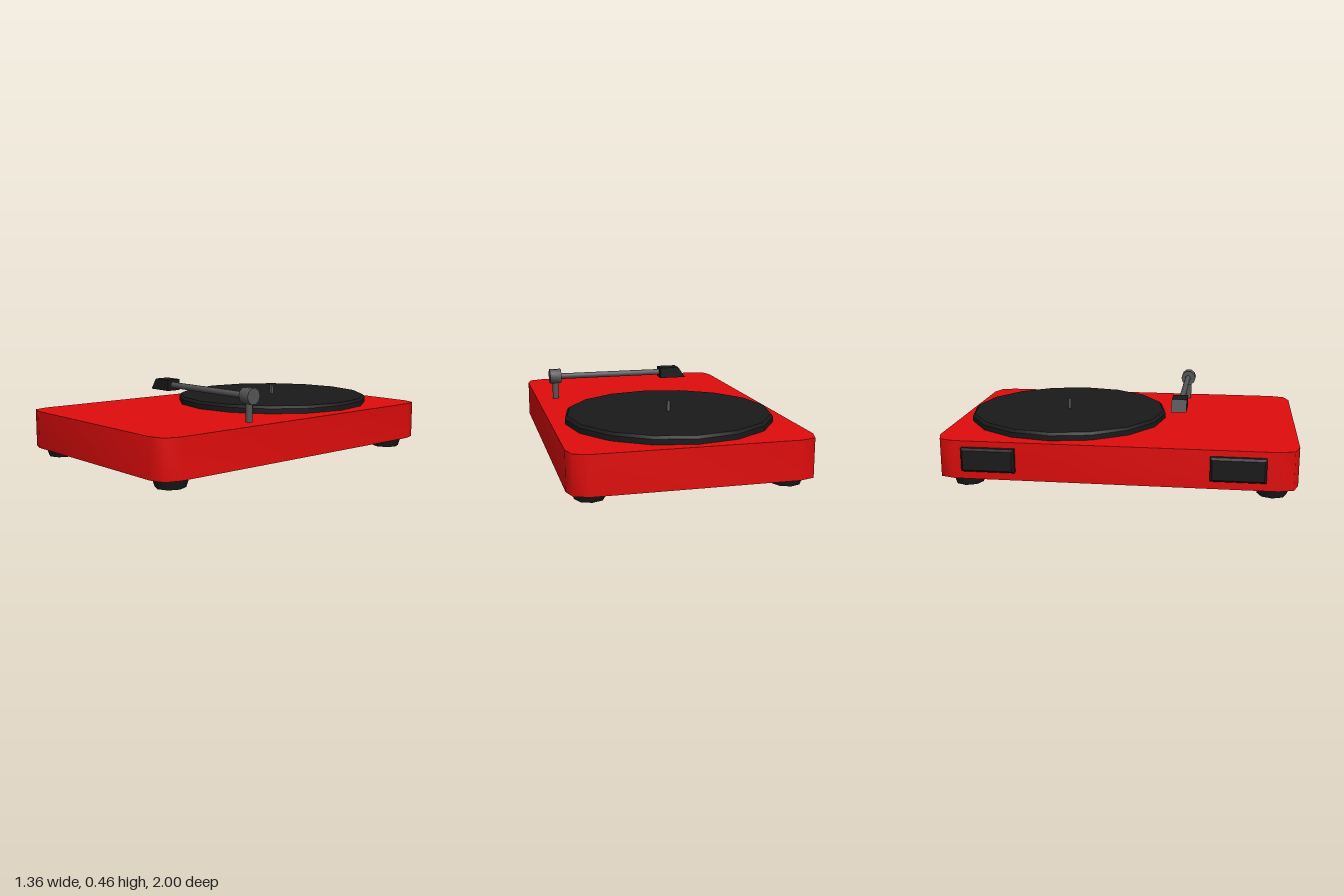
import * as THREE from 'three';
import { toCreasedNormals } from 'three/addons/utils/BufferGeometryUtils.js';

const mat = (color) => new THREE.MeshStandardMaterial({ color });
const red = mat(0xe00c0c), black = mat(0x1a1a1a), grey = mat(0x555555);

export function createModel() {
  const model = new THREE.Group();

  const add = (name, geometry, material, x, y, z, crease = 0.9) => {
    const mesh = new THREE.Mesh(toCreasedNormals(geometry, crease), material);
    mesh.name = name;
    mesh.position.set(x, y, z);
    model.add(mesh);
    return mesh;
  };

  // Plinth: rectangle with two-step rounded corners, extruded upward
  const hx = 0.66, hz = 1;
  const corner = [[hx, hz - 0.11], [hx - 0.026, hz - 0.028], [hx - 0.11, hz]];
  const outline = [];
  for (const [sx, sz] of [[1, 1], [-1, 1], [-1, -1], [1, -1]]) {
    const pts = sx * sz > 0 ? corner : [...corner].reverse();
    for (const [x, z] of pts) outline.push(new THREE.Vector2(sx * x, sz * z));
  }
  const plinth = new THREE.ExtrudeGeometry(new THREE.Shape(outline), { depth: 0.217, bevelEnabled: false });
  plinth.rotateX(-Math.PI / 2);
  add('plinth', plinth, red, 0.015, 0.056, 0, 1.0);

  // Tapered feet
  for (const x of [-0.518, 0.547])
    for (const z of [-0.842, 0.861])
      add('foot', new THREE.CylinderGeometry(0.098, 0.08, 0.057, 8), black, x, 0.0285, z);

  // Platter with a bevelled rim, and its spindle
  const platter = new THREE.LatheGeometry(
    [[0, 0], [0.592, 0], [0.592, 0.03], [0.578, 0.045], [0, 0.045]].map(([r, y]) => new THREE.Vector2(r, y)), 16);
  add('platter', platter, black, 0.006, 0.272, -0.36, 0.5);
  add('spindle', new THREE.CylinderGeometry(0.011, 0.013, 0.06, 8), grey, 0.006, 0.346, -0.36);

  // Tonearm: post, pivot and arm
  const armZ = 0.338;
  add('tonearmPost', new THREE.CylinderGeometry(0.019, 0.019, 0.13, 10), grey, 0.557, 0.335, armZ);
  add('tonearmPivot', new THREE.CylinderGeometry(0.046, 0.046, 0.07, 10).rotateZ(Math.PI / 2), grey, 0.558, 0.414, armZ);
  add('tonearm', new THREE.CylinderGeometry(0.018, 0.018, 0.66, 10).rotateZ(Math.PI / 2), grey, 0.205, 0.413, 0.334);

  // Wedge-shaped head at the end of the arm
  const wedge = new THREE.Shape([[-0.28, 0.38], [-0.115, 0.38], [-0.115, 0.445], [-0.235, 0.445]]
    .map(([x, y]) => new THREE.Vector2(x, y)));
  add('tonearmHead', new THREE.ExtrudeGeometry(wedge, { depth: 0.087, bevelEnabled: false }), black, 0, 0, 0.286, 0.4);

  // Bevelled panels on the side wall
  const w = 0.138, h = 0.055;
  const panel = new THREE.Shape([[-w, -h], [w, -h], [w, h], [-w, h]].map(([x, y]) => new THREE.Vector2(x, y)));
  for (const z of [-0.69, 0.675]) {
    const geometry = new THREE.ExtrudeGeometry(panel, {
      depth: 0.03, bevelThickness: 0.012, bevelSize: 0.012, bevelSegments: 1,
    });
    geometry.rotateY(-Math.PI / 2);
    add('sidePanel', geometry, black, -0.638, 0.172, z, 0.5);
  }

  return model;
}
